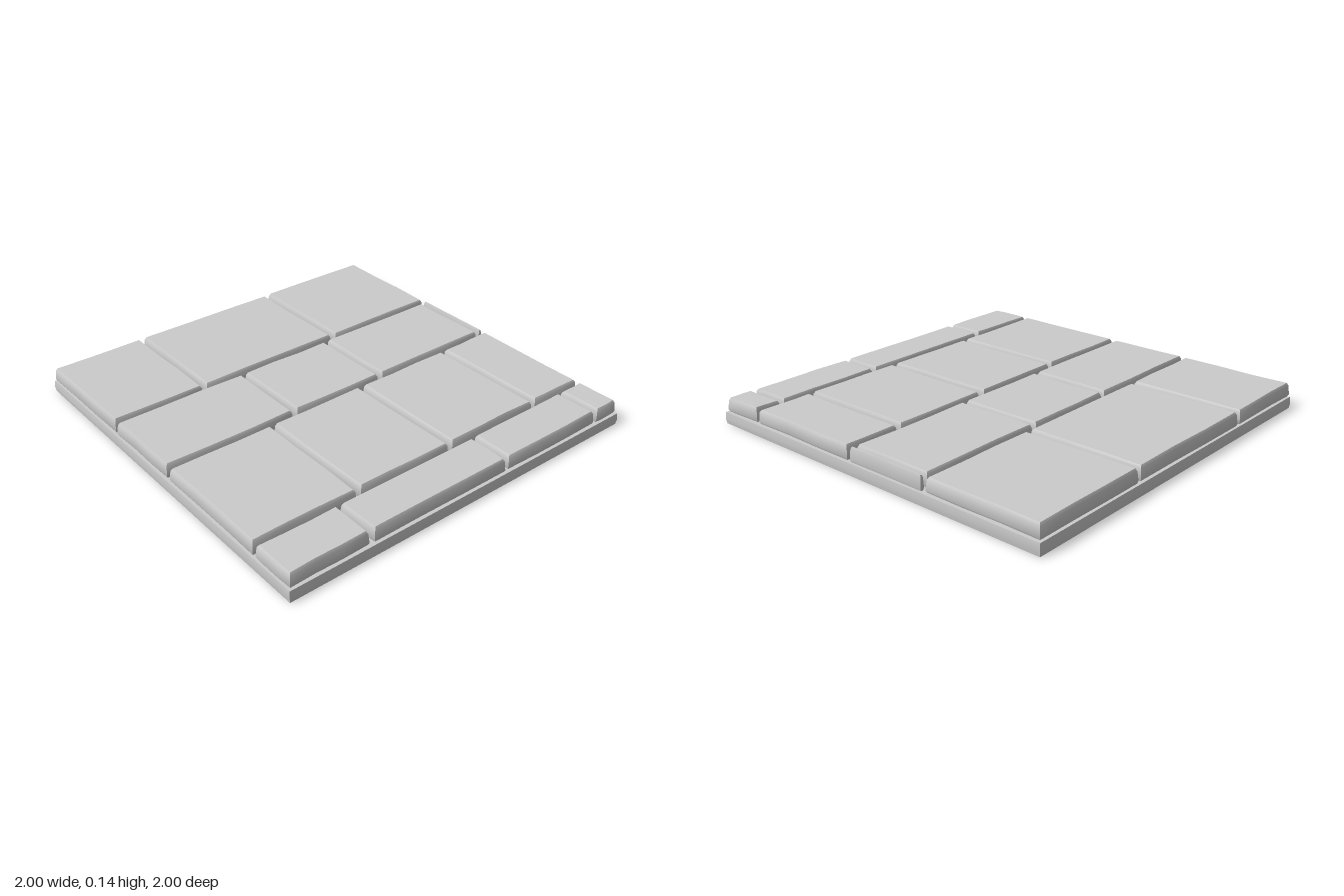
import * as THREE from 'three';
import { toCreasedNormals } from 'three/addons/utils/BufferGeometryUtils.js';

const material = new THREE.MeshStandardMaterial({ color: 0xcccccc });
const SEGMENTS = 3; // divisions per slab edge

let seed = 7;
const wobble = (amount) => {
  seed = (seed * 16807) % 2147483647;
  return (seed / 2147483647 - 0.5) * 2 * amount;
};

// Closed slab from stacked rectangular rings [inset, y]; rough makes the edges uneven
function slab(x0, x1, z0, z1, rings, rough) {
  const corners = [[0, 1], [1, 1], [1, 0], [0, 0]];
  const outline = [];
  corners.forEach((a, k) => {
    const b = corners[(k + 1) % 4];
    for (let i = 0; i < SEGMENTS; i++) {
      const t = i / SEGMENTS;
      outline.push([a[0] + (b[0] - a[0]) * t, a[1] + (b[1] - a[1]) * t, wobble(rough), wobble(rough)]);
    }
  });
  const n = outline.length, positions = [], index = [];
  for (const [inset, y] of rings) {
    for (const [u, v, dx, dz] of outline) {
      positions.push(
        x0 + inset + (x1 - x0 - 2 * inset) * u + dx,
        y + (y > 0.07 ? wobble(rough * 0.5) : 0),
        z0 + inset + (z1 - z0 - 2 * inset) * v + dz
      );
    }
  }
  for (let r = 0; r < rings.length - 1; r++) {
    for (let i = 0; i < n; i++) {
      const a = r * n + i, b = r * n + (i + 1) % n;
      index.push(a, b, b + n, a, b + n, a + n);
    }
  }
  // Bottom and top caps
  const centre = rings.length * n, top = (rings.length - 1) * n;
  for (const y of [rings[0][1], rings[rings.length - 1][1]]) positions.push((x0 + x1) / 2, y, (z0 + z1) / 2);
  for (let i = 0; i < n; i++) {
    const j = (i + 1) % n;
    index.push(centre, j, i, centre + 1, top + i, top + j);
  }
  const geometry = new THREE.BufferGeometry();
  geometry.setAttribute('position', new THREE.Float32BufferAttribute(positions, 3));
  geometry.setIndex(index);
  return toCreasedNormals(geometry, 0.6);
}

function add(group, name, geometry) {
  const mesh = new THREE.Mesh(geometry, material);
  mesh.name = name;
  group.add(mesh);
}

export function createModel() {
  const model = new THREE.Group();
  model.name = 'pavedFloor';

  // Base plate with slightly sloping rims
  add(model, 'basePlate', slab(-1, 1, -1, 1, [[0.004, 0], [0, 0.028], [0.004, 0.06]], 0));

  // Paving stones, row by row: depth range and stone spans along x
  const rows = [
    { z: [-0.99, -0.377], x: [[-0.99, -0.495], [-0.472, 0.32], [0.342, 0.986]] },
    { z: [-0.355, 0.085], x: [[-0.99, -0.282], [-0.262, 0.25], [0.273, 0.95], [0.97, 0.99]] },
    { z: [0.108, 0.74], x: [[-0.99, -0.443], [-0.418, 0.1], [0.125, 0.66], [0.684, 0.986]] },
    { z: [0.763, 0.987], x: [[-0.99, -0.58], [-0.556, 0.22], [0.241, 0.825], [0.845, 0.986]] },
  ];
  rows.forEach((row, r) => {
    const stones = new THREE.Group();
    stones.name = `stoneRow${r + 1}`;
    row.x.forEach(([x0, x1], i) => {
      const bevel = Math.min(0.012, (x1 - x0) * 0.3);
      const rings = [[bevel * 0.4, 0.064], [0, 0.075], [bevel * 0.4, 0.122], [bevel, 0.135]];
      add(stones, `stone${i + 1}`, slab(x0, x1, ...row.z, rings, x1 - x0 < 0.05 ? 0.001 : 0.003));
    });
    model.add(stones);
  });
  return model;
}
